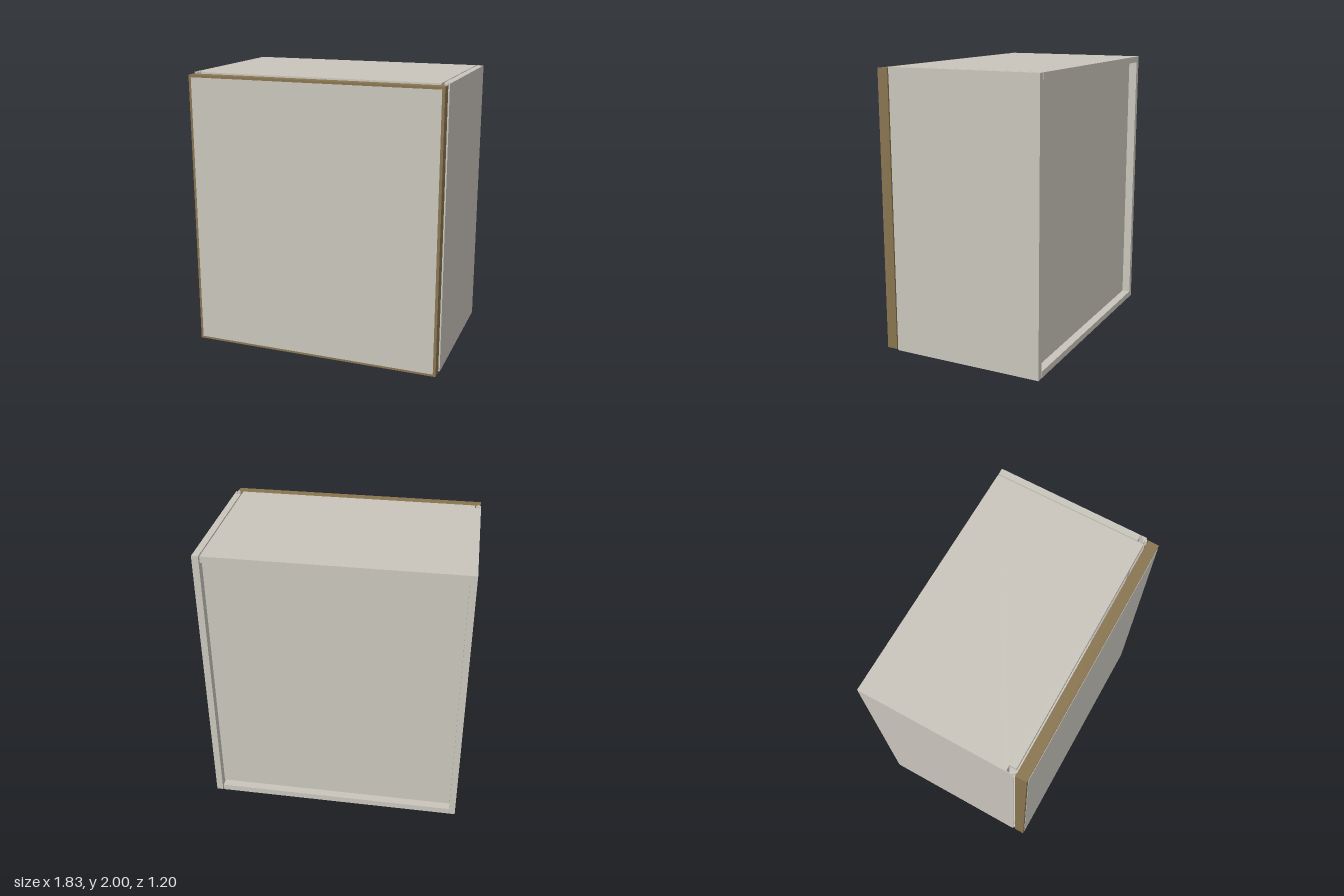
import * as THREE from 'three';

export function createModel() {
  const grey = new THREE.MeshStandardMaterial({ color: 0xc9c5bc });
  grey.name = 'grey laminate';
  const brown = new THREE.MeshStandardMaterial({ color: 0x88744f });
  brown.name = 'brown edging';
  const model = new THREE.Group();
  model.name = 'cabinet';

  // Box given by its minimum and maximum on each axis
  function box(name, mat, x0, x1, y0, y1, z0, z1) {
    const mesh = new THREE.Mesh(new THREE.BoxGeometry(x1 - x0, y1 - y0, z1 - z0), mat);
    mesh.position.set((x0 + x1) / 2, (y0 + y1) / 2, (z0 + z1) / 2);
    mesh.name = name;
    model.add(mesh);
  }

  // Horizontal panel extruded upwards from an outline of [x, z] points
  function slab(name, outline, y, height) {
    const shape = new THREE.Shape(outline.map(([x, z]) => new THREE.Vector2(x, -z)));
    const geo = new THREE.ExtrudeGeometry(shape, { depth: height, bevelEnabled: false });
    geo.rotateX(-Math.PI / 2);
    const mesh = new THREE.Mesh(geo, grey);
    mesh.position.y = y;
    mesh.name = name;
    model.add(mesh);
  }

  const W = 0.915, T = 0.045, back = -0.6, front = 0.505, notch = 0.457;
  const inner = W - T;

  // Top and bottom panels, notched at the front right corner for the hinge
  const outline = [[-W, back], [0.86, back], [0.86, front], [-inner, front], [-inner, notch], [-W, notch]];
  slab('bottomPanel', outline, 0, T);
  slab('topPanel', outline, 2 - T, T);

  // Side panels: the left one runs full height beside a narrow gap
  box('leftSide', grey, inner - 0.002, W, 0, 2, back, notch);
  box('rightSide', grey, -W, -inner, T, 2 - T, back, notch);

  // Thin outer skins closing the hinge corners
  box('leftSkin', grey, W - 0.004, W, 0, 2, notch, front);
  box('rightSkin', grey, -W, -W + 0.004, 0, 2, notch, front);

  // Recessed back panel
  box('backPanel', grey, -inner, inner - 0.002, T, 2 - T, back + 0.06, back + 0.08);

  // Small angled hinge brackets at the four front corners
  for (const s of [-1, 1]) {
    for (const y of [0, 1.95]) {
      slab('hingeBracket', [
        [s * 0.91, 0.475], [s * 0.898, 0.475], [s * 0.898, 0.488],
        [s * 0.878, 0.488], [s * 0.878, 0.5], [s * 0.91, 0.5],
      ], y, 0.05);
      box('hingePin', grey, s * 0.895 - 0.008, s * 0.895 + 0.008, y, y + 0.05, 0.5, 0.515);
    }
  }

  // Door with brown edging and grey faces
  box('door', brown, -0.912, 0.908, 0.003, 1.99, 0.519, 0.597);
  box('doorFace', grey, -0.893, 0.889, 0.02, 1.973, 0.596, 0.6);
  box('doorBack', grey, -0.893, 0.889, 0.02, 1.973, 0.517, 0.52);

  return model;
}
